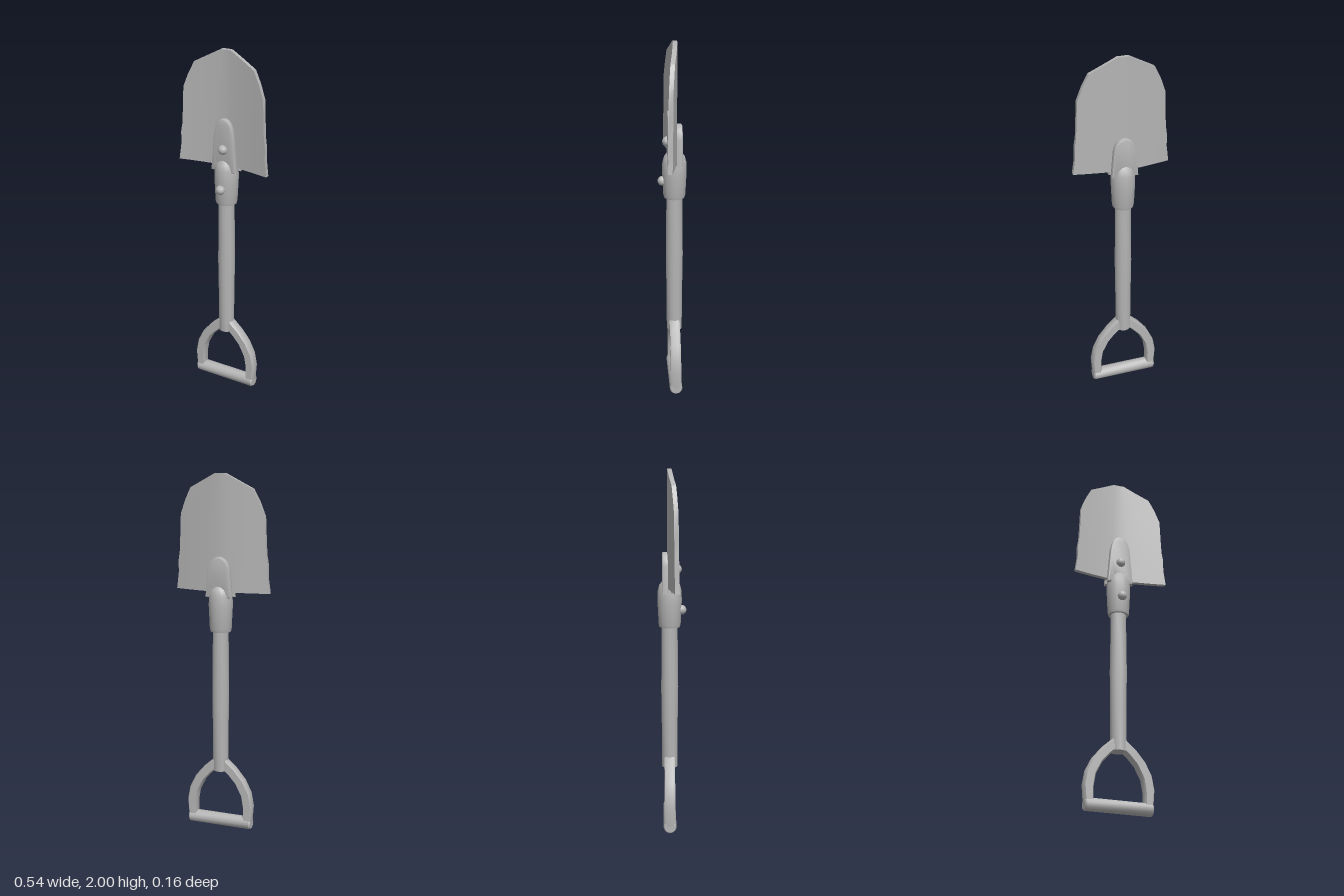
import * as THREE from 'three';
import { toCreasedNormals } from 'three/addons/utils/BufferGeometryUtils.js';

const AXIS_Z = -0.01; // depth of the shaft's centre line

export function createModel() {
  const model = new THREE.Group();
  model.name = 'shovel';
  const steel = new THREE.MeshStandardMaterial({ color: 0xb4b4b4 });
  steel.name = 'grey steel';

  const add = (name, geometry, crease = 0.6) => {
    const mesh = new THREE.Mesh(toCreasedNormals(geometry, crease), steel);
    mesh.name = name;
    model.add(mesh);
    return mesh;
  };
  const lathe = (profile, sides) => new THREE.LatheGeometry(
    profile.map(([r, y]) => new THREE.Vector2(r, y)), sides);

  // Blade: a thin box fitted to the outline [half width, y] and bowed forward at the sides
  const rows = [[0.03, 2], [0.105, 1.96], [0.18, 1.92], [0.215, 1.85], [0.243, 1.775],
    [0.248, 1.65], [0.252, 1.57], [0.26, 1.52], [0.26, 1.45], [0.272, 1.36]];
  const last = rows.length - 1;
  const blade = new THREE.BoxGeometry(2, 2, 0.024, 12, last, 1);
  const p = blade.attributes.position;
  for (let i = 0; i < p.count; i++) {
    const [half, y] = rows[Math.round((1 - p.getY(i)) / 2 * last)];
    const x = p.getX(i) * half;
    const bow = 0.041 * Math.pow(Math.abs(x) / 0.272, 1.4);
    p.setXYZ(i, x, y, p.getZ(i) - 0.013 + bow);
  }
  add('blade', blade);

  // Rounded straps that clamp the blade in front and behind
  const strap = (name, top, z) => {
    const s = new THREE.Shape();
    s.moveTo(-0.068, 1.34);
    s.lineTo(-0.056, 1.48);
    s.bezierCurveTo(-0.05, top - 0.03, -0.025, top - 0.008, 0, top - 0.008);
    s.bezierCurveTo(0.025, top - 0.008, 0.05, top - 0.03, 0.056, 1.48);
    s.lineTo(0.068, 1.34);
    s.lineTo(0.04, 1.34);
    s.lineTo(0.036, 1.38);
    s.lineTo(-0.036, 1.38);
    s.lineTo(-0.04, 1.34);
    const g = new THREE.ExtrudeGeometry(s, { depth: 0.016, bevelThickness: 0.009,
      bevelSize: 0.008, bevelSegments: 2, curveSegments: 8 });
    add(name, g.translate(0, 0, z - 0.008));
  };
  strap('frontStrap', 1.63, 0.013);
  strap('backStrap', 1.555, -0.035);

  // Socket and shaft
  add('socket', lathe([[0, 1.14], [0.057, 1.14], [0.061, 1.155], [0.067, 1.28],
    [0.066, 1.34], [0.057, 1.375], [0.04, 1.397], [0, 1.4]], 14)).position.z = AXIS_Z;
  add('shaft', lathe([[0, 0.335], [0.043, 0.335], [0.045, 0.6], [0.048, 0.8],
    [0.046, 0.9], [0.044, 1.18], [0, 1.18]], 12)).position.z = AXIS_Z;

  // Domed rivets on the front
  for (const [name, y, z] of [['bladeRivet', 1.46, 0.03], ['socketRivet', 1.235, 0.056]]) {
    const rivet = add(name, new THREE.SphereGeometry(0.027, 12, 8));
    rivet.position.set(0, y, z);
  }

  // Curved arms of the grip
  const outer = [[0.035, 0.395], [0.09, 0.345], [0.14, 0.285], [0.175, 0.215],
    [0.189, 0.14], [0.182, 0.05]];
  const inner = [[0.148, 0.05], [0.148, 0.13], [0.136, 0.2], [0.1, 0.27],
    [0.06, 0.315], [0.01, 0.36]];
  for (const [side, name] of [[1, 'leftGripArm'], [-1, 'rightGripArm']]) {
    const pts = [...outer, ...inner].map(([x, y]) => new THREE.Vector2(side * x, y));
    const g = new THREE.ExtrudeGeometry(new THREE.Shape(pts), { depth: 0.034,
      bevelThickness: 0.012, bevelSize: 0.007, bevelSegments: 1 });
    add(name, g.translate(0, 0, AXIS_Z - 0.017));
  }

  // Cross bar of the grip
  const bar = lathe([[0, -0.188], [0.03, -0.188], [0.036, -0.18], [0.036, 0.18],
    [0.03, 0.188], [0, 0.188]], 12);
  add('gripBar', bar.rotateZ(Math.PI / 2)).position.set(0, 0.036, AXIS_Z);

  return model;
}
